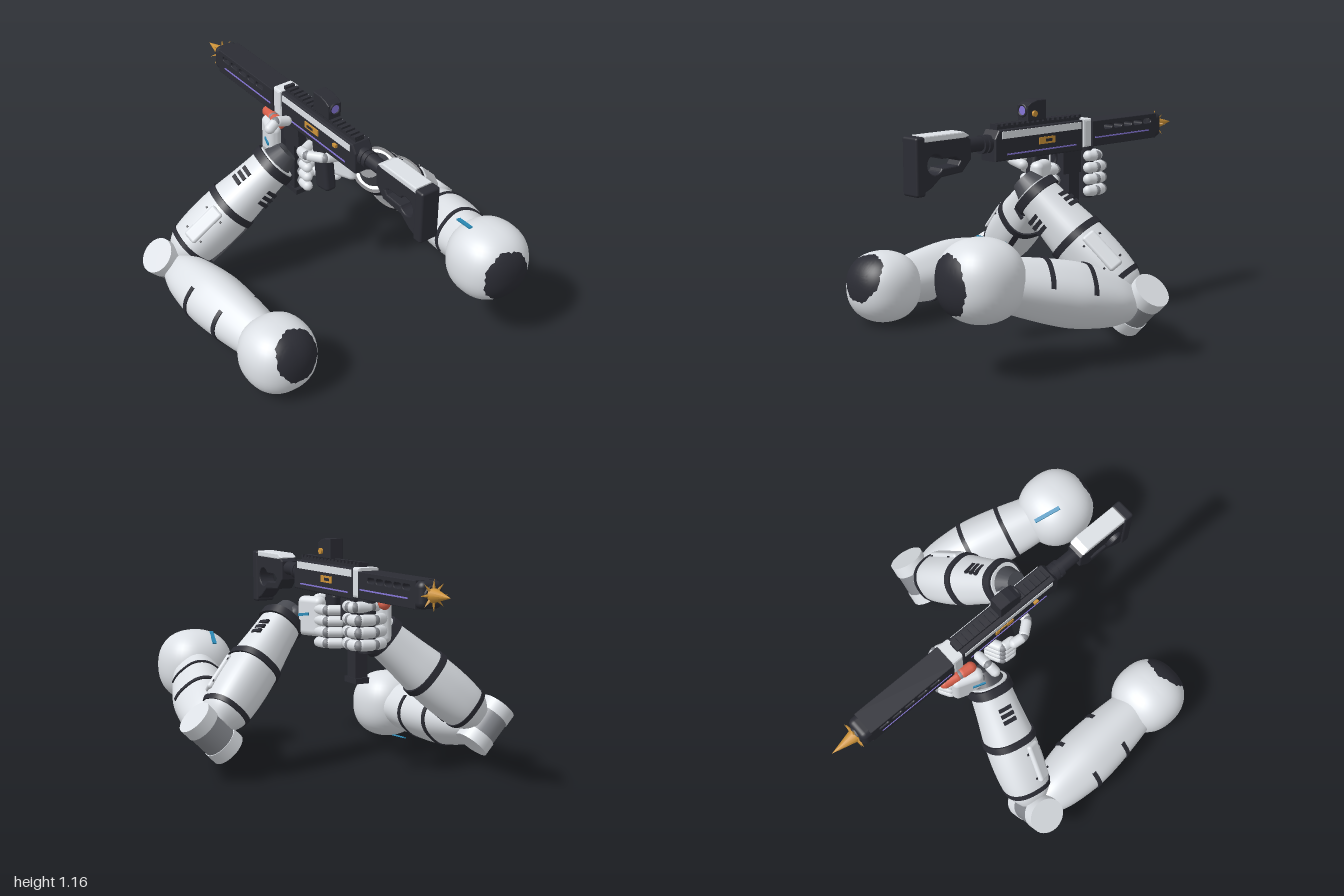
import * as THREE from 'three';
import { toCreasedNormals } from 'three/addons/utils/BufferGeometryUtils.js';
import { RoundedBoxGeometry } from 'three/addons/geometries/RoundedBoxGeometry.js';

const V = (x, y, z) => new THREE.Vector3(x, y, z);
const mat = (name, color) => {
  const m = new THREE.MeshStandardMaterial({ color });
  m.name = name;
  return m;
};
const white = mat('shellWhite', 0xdce0e5), grey = mat('jointGrey', 0x85888e), black = mat('gunBlack', 0x2b2c34);
const dark = mat('darkGrey', 0x484a51), purple = mat('purple', 0x8575d6), gold = mat('gold', 0xcc9238);
const red = mat('coral', 0xd9604a), blue = mat('blue', 0x2a88b4);

function add(parent, name, geo, material, x = 0, y = 0, z = 0) {
  const m = new THREE.Mesh(geo, material);
  m.name = name;
  m.position.set(x, y, z);
  parent.add(m);
  return m;
}
const box = (p, name, m, w, h, d, x, y, z) => add(p, name, new THREE.BoxGeometry(w, h, d), m, x, y, z);

// Turned shape with a slightly squared cross-section
function squareLathe(pts, phi = 0, len = Math.PI * 2, power = 2.5) {
  const g = new THREE.LatheGeometry(pts.map(([r, y]) => new THREE.Vector2(r, y)), 48, phi, len);
  const p = g.attributes.position;
  for (let i = 0; i < p.count; i++) {
    const x = p.getX(i), z = p.getZ(i), r = Math.hypot(x, z);
    if (r < 1e-6) continue;
    const k = (Math.abs(x / r) ** power + Math.abs(z / r) ** power) ** (-1 / power);
    p.setX(i, x * k * 0.96);
    p.setZ(i, z * k * 0.96);
  }
  return toCreasedNormals(g, 0.6);
}
// Ball pushed slightly towards a cube
function squareBall(g, r, power = 2.3) {
  const p = g.attributes.position, v = V(0, 0, 0);
  for (let i = 0; i < p.count; i++) {
    v.fromBufferAttribute(p, i).normalize();
    const k = (Math.abs(v.x) ** power + Math.abs(v.y) ** power + Math.abs(v.z) ** power) ** (-1 / power);
    v.multiplyScalar(r * k);
    p.setXYZ(i, v.x, v.y, v.z);
  }
  return toCreasedNormals(g, 0.8);
}
const curvePts = (pts) => new THREE.SplineCurve(pts.map(([r, y]) => new THREE.Vector2(r, y))).getPoints(28).map((v) => [v.x, v.y]);
function radiusAt(pts, y) {
  const i = Math.max(1, pts.findIndex((q) => q[1] >= y));
  const [a, b] = [pts[i - 1], pts[i]];
  return a[0] + ((b[0] - a[0]) * (y - a[1])) / (b[1] - a[1]);
}
const capped = (pts) => [[0, pts[0][1]], ...pts, [0, pts[pts.length - 1][1]]];
function band(parent, pts, y, w, lift, phi, len) {
  const r0 = radiusAt(pts, y - w / 2), r1 = radiusAt(pts, y + w / 2);
  const ring = [[r0 - 0.01, y - w / 2], [r0 + lift, y - w / 2], [r1 + lift, y + w / 2], [r1 - 0.01, y + w / 2]];
  add(parent, 'band', squareLathe(ring, phi, len), black);
}

// Group whose y runs from a to b and whose z follows the hinge axis
function limb(parent, name, a, b, hinge) {
  const g = new THREE.Group(), d = b.clone().sub(a).normalize();
  const x = d.clone().cross(hinge).normalize(), z = x.clone().cross(d);
  g.quaternion.setFromRotationMatrix(new THREE.Matrix4().makeBasis(x, d, z));
  g.position.copy(a);
  g.name = name;
  parent.add(g);
  return g;
}
function capsule(parent, name, a, b, r, material) {
  const m = add(parent, name, new THREE.CapsuleGeometry(r, Math.max(0.002, a.distanceTo(b) - r * 1.25), 5, 12), material);
  m.position.copy(a).lerp(b, 0.5);
  m.quaternion.setFromUnitVectors(V(0, 1, 0), b.clone().sub(a).normalize());
}
function finger(parent, name, pts, r, material = white) {
  for (let i = 0; i < pts.length - 1; i++) {
    capsule(parent, name, pts[i], pts[i + 1], r, material);
    if (i) add(parent, name + 'Joint', new THREE.SphereGeometry(r * 0.92, 10, 8), grey).position.copy(pts[i]);
  }
}

// One arm: shoulder ball, upper arm, hinge, forearm and wrist
function buildArm(root, name, o) {
  const arm = new THREE.Group();
  arm.name = name;
  root.add(arm);
  add(arm, 'shoulder', squareBall(new THREE.SphereGeometry(o.r, 40, 28), o.r), white).position.copy(o.shoulder);
  // Oval socket cover with a ragged rim
  const cover = new THREE.SphereGeometry(1, 48, 14, 0, Math.PI * 2, 0, 0.74), pp = cover.attributes.position;
  for (let i = 0; i < pp.count; i++) {
    const j = (i % 49) % 48, k = i < 14 * 49 ? 1 : 1 + 0.045 * Math.sin(j * 2.618) + 0.045 * Math.sin(j * 0.9);
    pp.setXYZ(i, pp.getX(i) * k * 0.82, pp.getY(i), pp.getZ(i) * k);
  }
  cover.applyQuaternion(new THREE.Quaternion().setFromUnitVectors(V(0, 1, 0), o.socket.clone().normalize()));
  add(arm, 'shoulderSocket', squareBall(cover, o.r + 0.003), black).position.copy(o.shoulder);
  const strip = box(arm, 'shoulderStripe', blue, 0.02, 0.008, 0.145, ...o.stripe);
  strip.rotation.set(...o.stripeTurn);

  const upper = limb(arm, 'upperArm', o.elbow, o.shoulder, o.hinge);
  const up = curvePts([[0.085, 0.05], [0.122, 0.15], [0.148, 0.32], [0.148, 0.45], [0.135, 0.6], [0.12, 0.72]]);
  add(upper, 'upperArmShell', squareLathe(capped(up)), white);
  for (const y of [0.32, 0.54]) band(upper, up, y, 0.022, 0.006, ...o.bandArc);

  const hinge = limb(arm, 'elbow', o.elbow, o.elbow.clone().add(o.hinge), V(0, 0, 1));
  add(hinge, 'elbowDrum', new THREE.CylinderGeometry(0.088, 0.088, 0.19, 32), grey);
  for (const s of [-1, 1]) add(hinge, 'elbowCap', new THREE.CylinderGeometry(0.092, 0.092, 0.065, 32), white, 0, s * 0.093, 0);

  const fore = limb(arm, 'forearm', o.elbow, o.wrist, o.hinge);
  const L = o.elbow.distanceTo(o.wrist);
  const fp = curvePts([[0.075, 0.06], [0.115, 0.13], [0.13, 0.26], [0.128, 0.42], [0.113, 0.58], [0.1, L - 0.02]]);
  add(fore, 'forearmShell', squareLathe(capped(fp)), white);
  band(fore, fp, 0.43, 0.035, 0.01);
  band(fore, fp, 0.14, 0.025, 0.006);
  band(fore, fp, L - 0.05, 0.045, 0.014);
  add(fore, 'wrist', new THREE.CylinderGeometry(0.058, 0.088, 0.08, 24), dark, 0, L + 0.01, 0);
  const edge = box(fore, 'seam', black, 0.03, 0.26, 0.03, o.side * 0.088, 0.29, -0.088);
  edge.rotation.y = Math.PI / 4;
  // Raised plate with screws
  const tilt = new THREE.Group();
  tilt.name = 'forearmPlate';
  tilt.rotation.y = o.side * 0.5;
  fore.add(tilt);
  add(tilt, 'plate', new RoundedBoxGeometry(0.075, 0.21, 0.03, 4, 0.014), white, 0, 0.29, 0.128);
  for (const y of [0.22, 0.36]) for (const s of [-1, 1])
    box(tilt, 'screw', black, 0.009, 0.009, 0.006, s * 0.052, y, 0.128);
  // Three vent slots on two faces
  for (const [turn, shift] of [[0, o.ventShift], [o.side * Math.PI / 2, o.side * 0.035]]) {
    const vents = new THREE.Group();
    vents.name = 'vents';
    vents.rotation.y = turn;
    fore.add(vents);
    for (let i = 0; i < 3; i++) box(vents, 'vent', black, 0.07, 0.02, 0.012, shift, 0.56 + i * 0.033, 0.109 - i * 0.004);
  }
}

// Side profile (u forward, v up) extruded across x
function sideShape(pts, width, bevel, holes = []) {
  const s = new THREE.Shape(pts.map(([u, v]) => new THREE.Vector2(u, v)));
  s.holes = holes;
  const g = new THREE.ExtrudeGeometry(s, { depth: width - 2 * bevel, bevelThickness: bevel, bevelSize: bevel, bevelOffset: -bevel, bevelSegments: 2, curveSegments: 16 });
  return g.translate(0, 0, bevel - width / 2).rotateY(Math.PI / 2);
}
function slot(u0, u1, v, r) {
  const p = new THREE.Path();
  p.absarc(u0 + r, v, r, Math.PI / 2, Math.PI * 1.5);
  p.absarc(u1 - r, v, r, -Math.PI / 2, Math.PI / 2);
  return p;
}

function buildGun(root) {
  const gun = new THREE.Group();
  gun.name = 'rifle';
  root.add(gun);
  // Receiver
  add(gun, 'receiver', sideShape([[-0.355, 0.89], [0.25, 0.885], [0.25, 1.04], [-0.33, 1.04], [-0.355, 1.0]], 0.105, 0.008), black);
  for (const s of [-1, 1]) {
    box(gun, 'receiverSidePlate', white, 0.009, 0.035, 0.55, s * 0.051, 1.015, 0.04);
    box(gun, 'receiverLine', purple, 0.006, 0.007, 0.48, s * 0.053, 0.92, 0.04);
    box(gun, 'ejectionPort', gold, 0.008, 0.034, 0.11, s * 0.053, 0.965, 0.01);
    box(gun, 'ejectionPortSlit', black, 0.008, 0.014, 0.045, s * 0.055, 0.965, 0.0);
    box(gun, 'handguardLine', purple, 0.006, 0.007, 0.42, s * 0.062, 0.945, -0.54);
  }
  box(gun, 'chargingLever', gold, 0.016, 0.016, 0.025, -0.058, 0.975, 0.205);
  box(gun, 'rail', black, 0.05, 0.02, 0.58, 0, 1.045, 0.03);
  for (let i = 0; i < 17; i++) box(gun, 'railTooth', black, 0.055, 0.014, 0.018, 0, 1.059, 0.31 - i * 0.035);
  // Handguard with open slots and a rounded nose
  add(gun, 'collar', sideShape([[0.25, 0.9], [0.31, 0.9], [0.31, 1.045], [0.25, 1.045]], 0.118, 0.012), white);
  const vents = [0, 1, 2, 3, 4].map((i) => slot(0.397 + i * 0.077, 0.461 + i * 0.077, 0.995, 0.0125));
  add(gun, 'handguard', sideShape([[0.31, 0.9], [0.81, 0.9], [0.81, 1.03], [0.31, 1.03]], 0.124, 0.003, vents), black);
  add(gun, 'handguardNose', new RoundedBoxGeometry(0.124, 0.128, 0.1, 4, 0.03), black, 0, 0.965, -0.808);
  // Spiked muzzle
  const muzzle = new THREE.Group();
  muzzle.name = 'muzzle';
  muzzle.position.set(0, 0.965, -0.855);
  muzzle.rotation.x = -Math.PI / 2;
  gun.add(muzzle);
  add(muzzle, 'muzzleRing', new THREE.CylinderGeometry(0.042, 0.05, 0.02, 16), black);
  add(muzzle, 'muzzleSpike', new THREE.ConeGeometry(0.036, 0.14, 12), gold, 0, 0.075, 0);
  for (let i = 0; i < 8; i++) {
    const a = (i * Math.PI) / 4, dir = V(Math.cos(a), 0.08, Math.sin(a)).normalize();
    const c = add(muzzle, 'sideSpike', new THREE.ConeGeometry(0.009, 0.05, 6), gold, dir.x * 0.05, 0.012, dir.z * 0.05);
    c.quaternion.setFromUnitVectors(V(0, 1, 0), dir);
  }
  // Stock
  const tube = add(gun, 'bufferTube', new THREE.CylinderGeometry(0.036, 0.036, 0.2, 20), black, 0, 0.98, 0.44);
  tube.rotation.x = Math.PI / 2;
  for (const z of [0.37, 0.4]) add(gun, 'tubeRing', new THREE.CylinderGeometry(0.045, 0.045, 0.022, 20), black, 0, 0.975, z).rotation.x = Math.PI / 2;
  const hole = new THREE.Path();
  hole.absarc(-0.725, 0.918, 0.047, 0.5, Math.PI * 2 - 0.5);
  hole.lineTo(-0.585, 0.9);
  hole.lineTo(-0.57, 0.92);
  hole.lineTo(-0.6, 0.94);
  hole.closePath();
  add(gun, 'stock', sideShape([[-0.8, 0.79], [-0.75, 0.81], [-0.69, 0.855], [-0.56, 0.865], [-0.505, 0.92], [-0.505, 1.015], [-0.55, 1.045], [-0.8, 1.045]], 0.09, 0.006, [hole]), black);
  add(gun, 'cheekRest', sideShape([[-0.79, 1.025], [-0.54, 1.025], [-0.515, 1.035], [-0.55, 1.055], [-0.79, 1.055]], 0.094, 0.006), white);
  add(gun, 'buttPad', new RoundedBoxGeometry(0.105, 0.275, 0.055, 3, 0.012), black, 0, 0.915, 0.815);
  // Sight with a rimmed lens
  add(gun, 'sight', sideShape([[-0.125, 1.065], [0, 1.065], [0, 1.165], [-0.06, 1.165], [-0.1, 1.155], [-0.125, 1.14]], 0.075, 0.004), black);
  add(gun, 'lensRim', new THREE.TorusGeometry(0.028, 0.006, 8, 24), black, 0, 1.116, 0.127);
  add(gun, 'lens', new THREE.CylinderGeometry(0.026, 0.026, 0.006, 24), purple, 0, 1.116, 0.125).rotation.x = Math.PI / 2;
  add(gun, 'sightKnob', new THREE.CylinderGeometry(0.015, 0.015, 0.02, 12), gold, 0.04, 1.1, 0.085).rotation.z = Math.PI / 2;
  // Magazine, grips and trigger guard
  box(gun, 'magazineWell', black, 0.09, 0.13, 0.13, 0, 0.84, -0.18);
  box(gun, 'magazine', black, 0.068, 0.32, 0.075, 0, 0.65, -0.205);
  box(gun, 'magazineFoot', black, 0.075, 0.028, 0.11, 0, 0.487, -0.2);
  const grip = add(gun, 'pistolGrip', new RoundedBoxGeometry(0.065, 0.28, 0.1, 3, 0.02), black, 0, 0.76, 0.04);
  grip.rotation.x = -0.15;
  add(gun, 'triggerGuard', new THREE.TorusGeometry(0.05, 0.007, 8, 20), black, 0, 0.86, -0.06).rotation.y = Math.PI / 2;
  add(gun, 'foregrip', new THREE.CylinderGeometry(0.045, 0.04, 0.27, 16), black, 0.01, 0.77, -0.31);
}

function buildHands(root) {
  const rear = new THREE.Group(), front = new THREE.Group();
  rear.name = 'gripHand';
  front.name = 'supportHand';
  root.add(rear, front);
  // Hand on the pistol grip
  add(rear, 'palm', new RoundedBoxGeometry(0.07, 0.2, 0.15, 4, 0.03), white, 0.09, 0.775, 0.09).rotation.y = 0.4;
  capsule(rear, 'wristLink', V(0.15, 0.775, 0.22), V(0.12, 0.775, 0.165), 0.048, dark);
  box(rear, 'handStripe', blue, 0.008, 0.014, 0.065, 0.136, 0.785, 0.098).rotation.set(0.15, 0.4, 0);
  for (let i = 0; i < 4; i++) {
    const y = 0.815 - i * 0.055;
    finger(rear, 'finger', [V(0.085, y, 0.05), V(0.075, y, -0.03), V(0, y, -0.07), V(-0.085, y, -0.03), V(-0.09, y, 0.04)], 0.026);
  }
  finger(rear, 'thumb', [V(0.04, 0.85, 0.15), V(-0.07, 0.87, 0.14), V(-0.125, 0.87, 0.07), V(-0.115, 0.86, 0)], 0.026);
  // Hand on the foregrip
  add(front, 'palm', new RoundedBoxGeometry(0.07, 0.21, 0.16, 4, 0.03), white, -0.1, 0.78, -0.27).rotation.y = -0.35;
  capsule(front, 'wristLink', V(-0.12, 0.73, -0.17), V(-0.11, 0.76, -0.21), 0.048, dark);
  box(front, 'handStripe', blue, 0.008, 0.014, 0.065, -0.152, 0.8, -0.237).rotation.y = -0.35;
  for (let i = 0; i < 4; i++) {
    const y = 0.86 - i * 0.06, f = i ? 0 : 0.035;
    finger(front, 'finger', [V(-0.07, y, -0.33 + f), V(0, y, -0.37 + f), V(0.085, y, -0.36 + f), V(0.1, y, -0.3), V(0.08, y, -0.24)], 0.028);
  }
  finger(front, 'thumb', [V(-0.08, 0.88, -0.21), V(-0.072, 0.88, -0.29), V(-0.05, 0.872, -0.385)], 0.029, red);
  finger(front, 'indexFinger', [V(-0.06, 0.92, -0.17), V(-0.14, 0.945, -0.17), V(-0.195, 0.915, -0.16)], 0.026);
}

export function createModel() {
  const root = new THREE.Group();
  root.name = 'armsWithRifle';
  buildGun(root);
  buildHands(root);
  buildArm(root, 'rightHandArm', {
    shoulder: V(0.425, 0.452, 0.797), r: 0.192, elbow: V(0.68, 0.245, 0.035), wrist: V(0.16, 0.77, 0.235),
    hinge: V(0.7, 0.7, 0).normalize(), socket: V(-0.15, 0, 1), side: -1, bandArc: [-0.6, 3.3], ventShift: 0.03,
    stripe: [0.37, 0.612, 0.68], stripeTurn: [-0.33, -0.28, 0],
  });
  buildArm(root, 'leftHandArm', {
    shoulder: V(-0.623, 0.192, 0.52), r: 0.182, elbow: V(-0.685, 0.21, -0.33), wrist: V(-0.12, 0.72, -0.17),
    hinge: V(-0.68, 0.73, 0).normalize(), socket: V(0.1, 0.45, 0.88), side: 1, bandArc: [0, 4.7], ventShift: 0,
    stripe: [-0.65, 0.009, 0.46], stripeTurn: [0, 0.15, 0.3],
  });
  return root;
}
